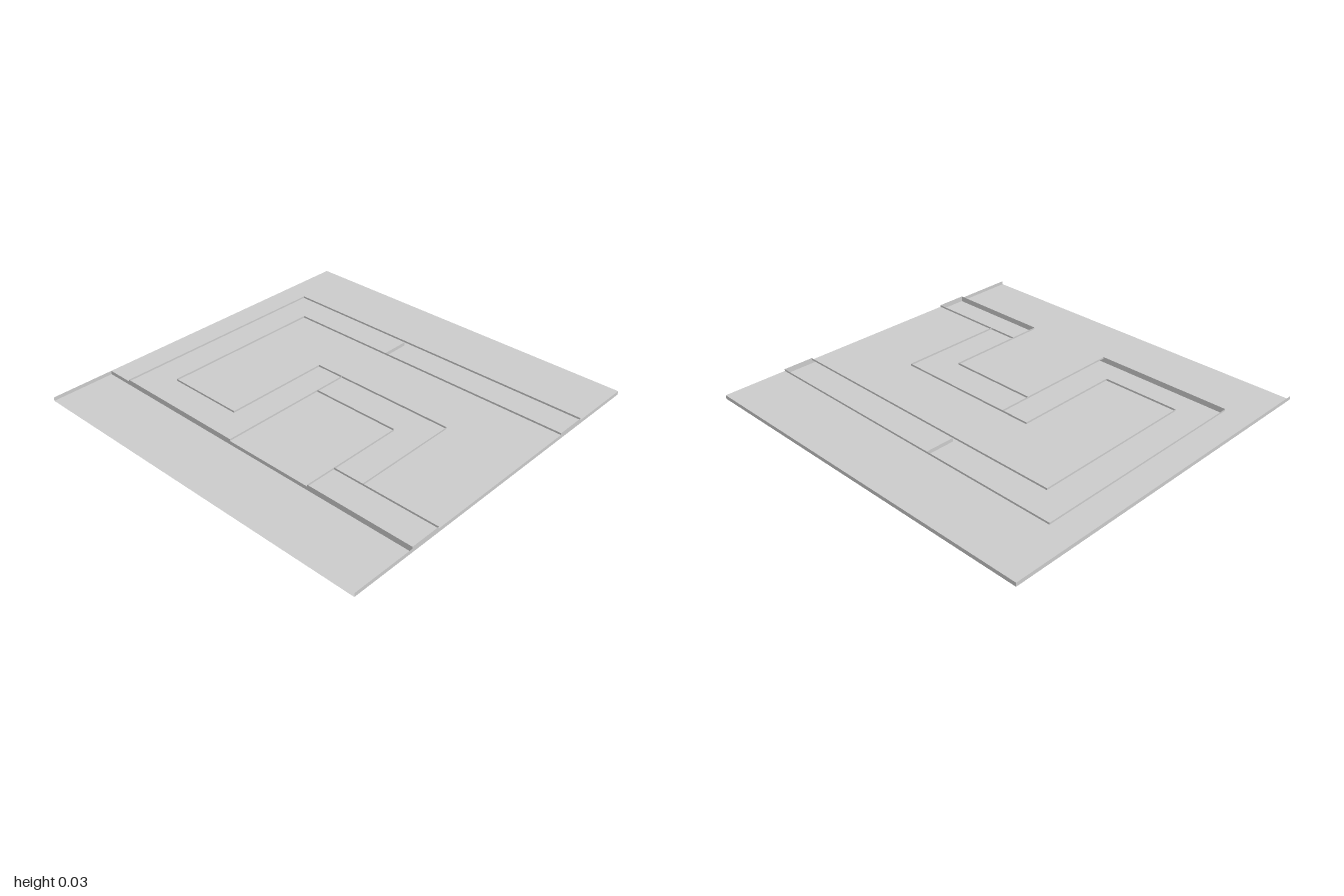
import * as THREE from 'three';

const material = new THREE.MeshStandardMaterial({ color: 0xcccccc, side: THREE.DoubleSide });
const W = 0.975, D = 1, DECK = 0.02, RIM = 0.03;

// Track edges in plan
const xa = -0.63, xb = -0.46, xc = -0.05, xd = 0.13, xe = 0.455, xf = 0.625;
const za = -0.85, zb = -0.68, zc = -0.25, zd = -0.09, ze = 0.41, zf = 0.58;

// Horizontal sheet from [x, z] corners
function sheet(name, points, y) {
  const shape = new THREE.Shape(points.map(([x, z]) => new THREE.Vector2(x, -z)));
  const mesh = new THREE.Mesh(new THREE.ShapeGeometry(shape).rotateX(-Math.PI / 2), material);
  mesh.position.y = y;
  mesh.name = name;
  return mesh;
}

// Thin upright walls following a line of [x, z] points
function walls(name, points, y0, y1) {
  const group = new THREE.Group();
  group.name = name;
  for (let i = 0; i + 1 < points.length; i++) {
    const [x0, z0] = points[i], [x1, z1] = points[i + 1];
    const wall = new THREE.Mesh(new THREE.PlaneGeometry(Math.hypot(x1 - x0, z1 - z0), y1 - y0), material);
    wall.position.set((x0 + x1) / 2, (y0 + y1) / 2, (z0 + z1) / 2);
    wall.rotation.y = Math.atan2(z0 - z1, x1 - x0);
    wall.name = name + (i + 1);
    group.add(wall);
  }
  return group;
}

export function createModel() {
  const model = new THREE.Group();
  model.name = 'trackBoard';

  // Floor and outer walls; the side at -x is open
  model.add(sheet('floor', [[-W, -D], [W, -D], [W, D], [-W, D]], 0));
  model.add(walls('outerWall', [[-W, D], [W, D], [W, -D], [-W, -D]], 0, DECK));

  // Raised decks on both sides of the winding track
  const outer = [[xf, D], [xf, za], [xa, za]];
  const inner = [[xe, D], [xe, zb], [xb, zb], [xb, zc], [xd, zc], [xd, zf], [xb, zf], [xb, D]];
  const block = [[xa, zd], [xc, zd], [xc, ze], [xa, ze]];
  model.add(sheet('outerDeck', [...outer, [xa, -D], [W, -D], [W, D]], DECK));
  model.add(sheet('innerDeck', inner, DECK));
  model.add(sheet('blockDeck', block, DECK));

  // Low rims along the track
  model.add(walls('outerRim', outer, DECK, RIM));
  model.add(walls('innerRim', inner, DECK, RIM));
  model.add(walls('blockRim', block, DECK, RIM));

  // Long wall beside the track, higher where the track runs along it
  model.add(walls('sideWall', [[xa, -D], [xa, D]], 0, DECK));
  model.add(walls('sideRimBack', [[xa, za], [xa, zd]], DECK, RIM));
  model.add(walls('sideRimFront', [[xa, ze], [xa, D]], DECK, RIM));

  // Track ends at the front
  model.add(walls('trackStart', [[xa, D], [xb, D]], DECK, RIM));
  model.add(walls('trackEnd', [[xe, D], [xf, D]], DECK, RIM));

  // Cross pieces in the track
  model.add(walls('crossWall', [[xe, zd], [xf, zd]], 0, DECK));
  model.add(walls('crossBarFront', [[xb, ze], [xb, zf]], DECK, RIM));
  model.add(walls('crossBarMiddle', [[xc, zd], [xd, zd]], DECK, RIM));
  return model;
}
